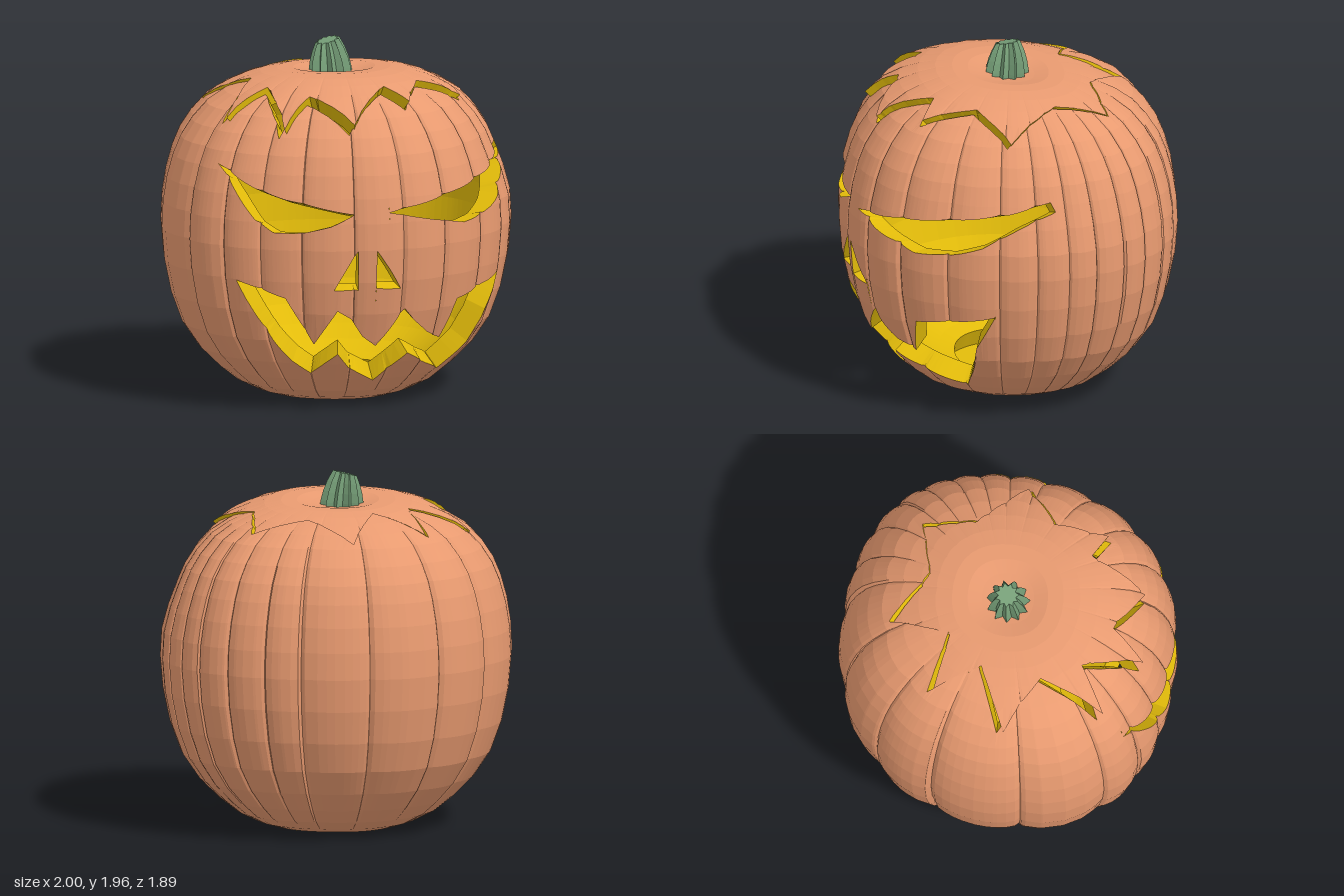
import * as THREE from 'three';

const ORANGE = 0xe89a70, YELLOW = 0xe3bc0a, GREEN = 0x769f78;
const DEG = Math.PI / 180, DEPTH = 0.95, CENTRE_Y = 0.9, INNER = 0.885;

// Side profile (radius, height) from the base to the dip under the stem
const PROFILE = new THREE.SplineCurve([
  [0.36, 0], [0.53, 0.06], [0.69, 0.18], [0.86, 0.37], [0.96, 0.63], [1, 0.92], [0.985, 1.15], [0.935, 1.35],
  [0.86, 1.5], [0.73, 1.64], [0.56, 1.725], [0.4, 1.77], [0.25, 1.78], [0.12, 1.755], [0, 1.745],
].map(p => new THREE.Vector2(...p)));
const ROWS = 22;

// Creases between the uneven lobes, in degrees from the front
const CREASES = [-91, -75, -61, -46, -28, -11, 5, 23, 41, 54, 65, 75, 86, 96, 108, 122, 135, 159, 184, 207, 239, 269];
const LOBE_STEPS = [0, 0.06, 0.25, 0.5, 0.75, 0.94];

// The plan is flattened across its diagonals, with a lower shoulder at the front left
function planFactor(theta, y) {
  const s = Math.sin(2 * theta);
  const shoulder = Math.pow(Math.max(0, Math.cos(theta - 0.9)), 6) * THREE.MathUtils.smoothstep(y, 1.05, 1.4);
  return 1 - s * s * (s > 0 ? 0.02 : 0.045) - 0.035 * shoulder;
}

function lobeFactor(theta, r) {
  let d = theta / DEG;
  while (d < -91) d += 360;
  while (d >= 269) d -= 360;
  let i = 0;
  while (i < CREASES.length - 2 && d >= CREASES[i + 1]) i++;
  const width = CREASES[i + 1] - CREASES[i];
  const t = THREE.MathUtils.clamp((d - CREASES[i]) / width, 0, 1);
  const bump = Math.pow(Math.max(0, Math.sin(Math.PI * t)), 0.45);
  const fade = THREE.MathUtils.clamp((r - 0.25) / 0.5, 0, 1);
  return 1 - (0.017 + 0.0011 * width) * (1 - bump) * fade;
}

// Point on the lobed outer skin (k = 1) or the smooth inner skin (k = INNER)
function skin(theta, v, k = 1) {
  const p = PROFILE.getPoint(v);
  const lobe = k === 1 ? lobeFactor(theta, p.x) : 0.985;
  const r = Math.max(0, p.x) * planFactor(theta, p.y) * lobe * k;
  return [r * Math.sin(theta), CENTRE_Y + (p.y - CENTRE_Y) * k, r * Math.cos(theta) * DEPTH];
}

function solve(test, lo, hi) {
  for (let i = 0; i < 40; i++) {
    const mid = (lo + hi) / 2;
    if (test(PROFILE.getPoint(mid))) lo = mid; else hi = mid;
  }
  return lo;
}

// Face openings drawn as seen from the front, turned into (angle, v)
function fromFront([x, y]) {
  const v = solve(p => p.y < y, 0, 0.8);
  const r = PROFILE.getPoint(v).x * 0.985;
  let theta = 0;
  for (let i = 0; i < 8; i++) theta = Math.asin(THREE.MathUtils.clamp(x / (r * planFactor(theta, y)), -0.985, 0.985));
  return [theta, v];
}
const HOLES = [
  [[-0.27, 1.15], [0.2, 1.235], [0.62, 1.31], [0.75, 1.37], [0.78, 1.32], [0.68, 1.24], [0.55, 1.13], [0.4, 1.07], [0.2, 1.05], [0, 1.09]],
  [[-0.89, 1.38], [-0.82, 1.27], [-0.72, 1.22], [-0.44, 1.14], [-0.55, 1.08], [-0.67, 1.04], [-0.78, 1.04], [-0.84, 1.1], [-0.88, 1.25]],
  [[-0.53, 0.72], [-0.43, 0.94], [-0.42, 0.72]],
  [[-0.34, 0.94], [-0.2, 0.72], [-0.335, 0.73]],
  [[-0.89, 0.76], [-0.72, 0.67], [-0.65, 0.54], [-0.56, 0.4], [-0.5, 0.6], [-0.43, 0.55], [-0.36, 0.45], [-0.28, 0.39],
    [-0.16, 0.6], [-0.1, 0.53], [0, 0.45], [0.11, 0.4], [0.18, 0.62], [0.6, 0.71], [0.48, 0.5], [0.4, 0.32], [0.27, 0.17],
    [0.1, 0.24], [-0.08, 0.33], [-0.18, 0.16], [-0.35, 0.25], [-0.44, 0.34], [-0.49, 0.21], [-0.6, 0.29], [-0.72, 0.42], [-0.8, 0.55]],
].map(h => h.map(fromFront));

const pairs = list => list.slice(1).map((p, i) => [list[i], p]);

// Zigzag lid cut, straight lines as seen from the top (x, z)
const ZIGZAG = [
  [-0.17, -0.65], [-0.23, -0.35], [-0.57, -0.46], [-0.48, -0.13], [-0.8, 0.05], [-0.55, 0.1], [-0.68, 0.41], [-0.47, 0.37],
  [-0.38, 0.66], [-0.07, 0.52], [-0.01, 0.67], [0.2, 0.47], [0.49, 0.49], [0.47, 0.13], [0.65, -0.13], [0.37, -0.27],
  [0.29, -0.6], [0.02, -0.38],
];
function fromTop([x, z]) {
  const theta = Math.atan2(x, z / DEPTH);
  const r = Math.hypot(x, z / DEPTH) / planFactor(theta, 1.65);
  return [theta, solve(p => p.x > r, 0.45, 1)];
}
const LID_CUT = pairs([...ZIGZAG, ZIGZAG[0]]).flatMap(([a, b]) =>
  [0, 0.25, 0.5, 0.75].map(t => fromTop([a[0] + (b[0] - a[0]) * t, a[1] + (b[1] - a[1]) * t])));

const START = LID_CUT[0][0], END = START + 2 * Math.PI;
for (const p of LID_CUT) if (p[0] < START) p[0] += 2 * Math.PI;
const lidEdges = pairs([...LID_CUT, [END, LID_CUT[0][1]]]);
const holeEdges = HOLES.flatMap(h => pairs([...h, h[0]]));
const level = v => [[START, v], [END, v]];

function pushQuad(out, a, b, c, d) {
  const V = p => new THREE.Vector3(...p);
  for (const t of [[a, b, c], [a, c, d]]) {
    const [p, q, r] = t.map(V);
    if (q.sub(p).cross(r.sub(p)).length() > 1e-8) out.push(...t.flat());
  }
}

function makeMesh(name, positions, color, side = THREE.FrontSide) {
  const g = new THREE.BufferGeometry();
  g.setAttribute('position', new THREE.Float32BufferAttribute(positions, 3));
  g.computeVertexNormals();
  const m = new THREE.Mesh(g, new THREE.MeshStandardMaterial({ color, side, flatShading: true }));
  m.name = name;
  return m;
}

// Shell between boundary edges: cut into thin columns, filled between alternate edges
function makeShell(name, edges) {
  const outer = [], inner = [];
  const cuts = edges.flat().map(p => p[0]);
  pairs(CREASES).forEach(([a, b]) => LOBE_STEPS.forEach(s => {
    let t = (a + (b - a) * s) * DEG;
    while (t < START) t += 2 * Math.PI;
    while (t > END) t -= 2 * Math.PI;
    cuts.push(t);
  }));
  cuts.sort((a, b) => a - b);
  const columns = cuts.filter((c, i) => i === 0 || c - cuts[i - 1] > 1e-7);
  for (const [a, b] of pairs(columns)) {
    const mid = (a + b) / 2;
    const lines = edges
      .filter(([p, q]) => (p[0] - mid) * (q[0] - mid) < 0)
      .map(([p, q]) => [a, b].map(t => p[1] + (q[1] - p[1]) * (t - p[0]) / (q[0] - p[0])))
      .sort((m, n) => m[0] + m[1] - n[0] - n[1]);
    for (let i = 0; i + 1 < lines.length; i += 2) {
      const [low, high] = [lines[i], lines[i + 1]];
      const at = (row, s) => Math.min(Math.max(row / ROWS, low[s]), high[s]);
      for (let row = 0; row < ROWS; row++) {
        const c = [[a, at(row, 0)], [b, at(row, 1)], [b, at(row + 1, 1)], [a, at(row + 1, 0)]];
        pushQuad(outer, ...c.map(p => skin(...p)));
        pushQuad(inner, ...c.map(p => skin(...p, INNER)).reverse());
      }
      // Cut walls joining both skins
      for (const l of [low, high]) {
        if (l[0] > 0.999) continue;
        pushQuad(inner, skin(a, l[0]), skin(b, l[1]), skin(b, l[1], INNER), skin(a, l[0], INNER));
      }
    }
  }
  const group = new THREE.Group();
  group.name = name;
  group.add(makeMesh(name + 'Skin', outer, ORANGE), makeMesh(name + 'Flesh', inner, YELLOW, THREE.DoubleSide));
  return group;
}

// Flat disc closing the underside
function makeBase() {
  const out = [], centre = [0, 0, 0], n = 72;
  for (let i = 0; i < n; i++) {
    const [a, b] = [i, i + 1].map(k => k / n * 2 * Math.PI);
    pushQuad(out, centre, skin(b, 0), skin(a, 0), centre);
  }
  return makeMesh('base', out, YELLOW, THREE.DoubleSide);
}

// Ridged, tapering stem with a slanted tip
function makeStem() {
  const g = new THREE.CylinderGeometry(1, 1, 1, 22, 4);
  const pos = g.attributes.position;
  for (let i = 0; i < pos.count; i++) {
    const x = pos.getX(i), z = pos.getZ(i), h = pos.getY(i) + 0.5;
    const ridge = Math.round(Math.atan2(x, z) / (Math.PI / 11) + 22) % 2 ? 0.72 : 1;
    const r = (0.066 + 0.056 * (1 - h * h)) * ridge;
    pos.setXYZ(i, x * r - 0.02 - 0.015 * h * h, 1.72 + 0.205 * h + 0.3 * x * r * h * h, z * r - 0.01 - 0.01 * h);
  }
  const m = new THREE.Mesh(g, new THREE.MeshStandardMaterial({ color: GREEN, flatShading: true }));
  m.name = 'stem';
  return m;
}

export function createModel() {
  const model = new THREE.Group();
  model.name = 'carvedPumpkin';
  model.add(makeShell('body', [level(0), ...holeEdges, ...lidEdges]), makeBase());

  // Lid sits slightly turned, raised at the front and right
  const lid = new THREE.Group();
  lid.name = 'lid';
  const top = makeShell('lidShell', [...lidEdges, level(1)]), stem = makeStem();
  for (const part of [top, stem]) part.position.y = -1.74;
  lid.add(top, stem);
  lid.position.y = 1.755;
  lid.rotation.set(-0.05, 0.04, -0.025);
  model.add(lid);
  return model;
}
